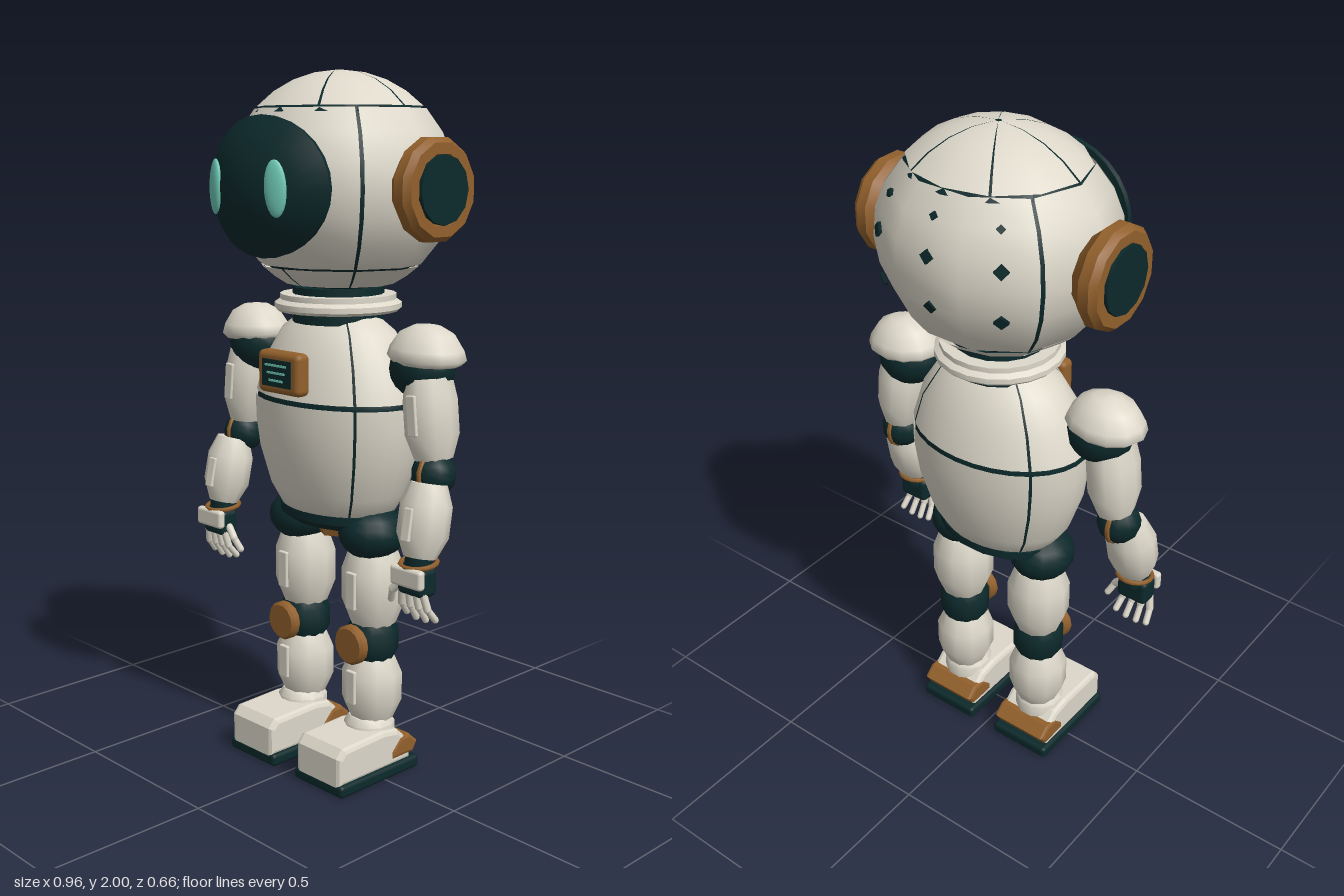
import * as THREE from 'three';
import { toCreasedNormals } from 'three/addons/utils/BufferGeometryUtils.js';
import { RoundedBoxGeometry } from 'three/addons/geometries/RoundedBoxGeometry.js';

const material = (name, color, side = THREE.FrontSide) => {
  const m = new THREE.MeshStandardMaterial({ color, side });
  m.name = name;
  return m;
};

export function createModel() {
  const shell = material('ivory shell', 0xddd8ca, THREE.DoubleSide);
  const dark = material('dark teal', 0x0c292b);
  const bronze = material('bronze', 0x92602c);
  const glow = material('mint glow', 0x6fcab6);
  const root = new THREE.Group();
  root.name = 'robot';
  const CZ = -0.037; // depth of the body axis

  const add = (name, geo, mat, pos = [0, 0, 0], rot = [0, 0, 0], scale = [1, 1, 1]) => {
    const m = new THREE.Mesh(geo, mat);
    m.name = name;
    m.position.set(...pos);
    m.rotation.set(...rot);
    m.scale.set(...scale);
    root.add(m);
    return m;
  };
  const lathe = (pts, segs, start = 0, len = Math.PI * 2) =>
    new THREE.LatheGeometry(pts.map(p => new THREE.Vector2(p[0], p[1])), segs, start, len);
  const turned = (pts, segs = 10, crease = 0.7) =>
    toCreasedNormals(lathe(pts, segs, Math.PI / segs), crease);
  // Rounded rod between two points
  const rod = (name, a, b, r, mat) => {
    const va = new THREE.Vector3(...a), vb = new THREE.Vector3(...b);
    const m = add(name, new THREE.CapsuleGeometry(r, va.distanceTo(vb), 3, 8), mat);
    m.position.copy(va).add(vb).multiplyScalar(0.5);
    m.quaternion.setFromUnitVectors(new THREE.Vector3(0, 1, 0), vb.sub(va).normalize());
  };
  // Side profile (z, y) pushed out along x with a bevel
  const sideExtrude = (pts, width, bevel) => {
    const s = new THREE.Shape(pts.map(p => new THREE.Vector2(p[0], p[1])));
    const depth = width - 2 * bevel;
    const g = new THREE.ExtrudeGeometry(s, { depth, bevelEnabled: true, bevelSize: bevel,
      bevelThickness: bevel, bevelOffset: -bevel, bevelSegments: 2 });
    return g.translate(0, 0, -depth / 2).rotateY(-Math.PI / 2);
  };
  // A ring of separate panels; seams and segments are per panel, in degrees
  const panels = (name, pts, seams, segs, zScale, gap, pos) => {
    seams.forEach((a, i) => {
      const b = i + 1 < seams.length ? seams[i + 1] : seams[0] + 360;
      const t0 = THREE.MathUtils.degToRad(a) + gap, t1 = THREE.MathUtils.degToRad(b) - gap;
      add(name, lathe(pts, segs[i], t0, t1 - t0).scale(1, 1, zScale), shell, pos);
    });
  };

  // Head: three bands of panels over a dark lining
  const HEAD = [0, 1.69, -0.04], RX = 0.335, RY = 0.31, RZ = 0.91;
  const arc = (t0, t1, n, k = 1) => Array.from({ length: n + 1 }, (_, i) => {
    const t = t0 + (t1 - t0) * i / n;
    return [RX * k * Math.cos(t), RY * k * Math.sin(t)];
  });
  const lowEdge = -0.785, topEdge = 0.74, bottom = -1.39 + 0.32;
  const deg = d => d * Math.PI / 180;
  panels('headBand', arc(lowEdge + 0.012, topEdge - 0.012, 6), [-54, 54, 126, 234], [3, 2, 3, 2], RZ, 0.018, HEAD);
  panels('crownPanel', arc(topEdge + 0.012, 1.545, 4), [-30, 30, 90, 150, 210, 270], Array(6).fill(2), RZ, 0.016, HEAD);
  panels('jawPanel', arc(bottom, lowEdge - 0.012, 2), [-54, 0, 54, 126, 180, 234], Array(6).fill(2), RZ, 0.016, HEAD);
  add('headLining', lathe(arc(lowEdge - 0.04, topEdge + 0.04, 6, 0.975), 10, deg(-54)).scale(1, 1, RZ), dark, HEAD);
  add('crownLining', lathe(arc(topEdge - 0.04, Math.PI / 2, 4, 0.98), 12, deg(-30)).scale(1, 1, RZ), dark, HEAD);
  add('jawLining', lathe(arc(-Math.PI / 2, lowEdge + 0.02, 4, 0.96), 12).scale(1, 1, RZ), dark, HEAD);

  // Vent marks on the back of the head
  for (const turn of [-36, 0, 36]) {
    for (const [y, r] of [[1.605, 0.02], [1.745, 0.02], [1.84, 0.012]]) {
      const lat = Math.asin((y - HEAD[1]) / RY), a = deg(turn);
      const flat = turn ? 1 : 0.951; // the middle facet lies inside the full ellipse
      const p = new THREE.Vector3(Math.sin(a) * Math.cos(lat) * RX, y - HEAD[1],
        -Math.cos(a) * Math.cos(lat) * RX * RZ * flat);
      const n = new THREE.Vector3(p.x / RX ** 2, p.y / RY ** 2, p.z / (RX * RZ) ** 2).normalize();
      const vent = add('headVent', new THREE.CylinderGeometry(r, r, 0.009, 4).rotateX(Math.PI / 2), dark);
      vent.position.set(...HEAD).add(p);
      vent.lookAt(vent.position.clone().add(n));
    }
  }

  // Face visor, bent slightly forward at top and bottom
  const visor = lathe([[0.185, 0.15], [0.2, 0.212], [0.232, 0.21], [0.235, 0.222], [0.17, 0.283], [0.08, 0.317], [0, 0.328]], 28);
  visor.rotateX(Math.PI / 2).scale(1, 0.8, 1);
  const vp = visor.attributes.position;
  for (let i = 0; i < vp.count; i++) vp.setZ(i, vp.getZ(i) + 0.022 * (vp.getY(i) / 0.185) ** 2);
  visor.computeVertexNormals();
  add('visor', toCreasedNormals(visor, 0.7), dark, [0, 1.69, 0]);

  // Neck
  add('neckCore', new THREE.CylinderGeometry(0.13, 0.13, 0.1, 16), dark, [0, 1.36, CZ]);
  add('neckRing', turned([[0.1, 1.342], [0.172, 1.342], [0.18, 1.35], [0.18, 1.365], [0.165, 1.375], [0.165, 1.39], [0.1, 1.39]], 20), shell, [0, 0, CZ]);

  // Torso: upper and lower shells over a dark core
  const lower = [[0.1, 0.748], [0.18, 0.762], [0.225, 0.83], [0.262, 0.94], [0.275, 1.03], [0.275, 1.092]];
  const upper = [[0.272, 1.106], [0.242, 1.2], [0.185, 1.288], [0.12, 1.335], [0.09, 1.342]];
  for (const [name, pts] of [['lowerTorsoPanel', lower], ['upperTorsoPanel', upper]])
    panels(name, pts, [-48, 48, 132, 228], [8, 7, 8, 7], 0.73, 0.018, [0, 0, CZ]);
  add('torsoCore', lathe([[0, 0.755], ...lower.concat(upper).map(([r, y]) => [r * 0.975, y]), [0, 1.342]], 30).scale(1, 1, 0.73), dark, [0, 0, CZ]);

  // Chest badge
  add('badgeFrame', new RoundedBoxGeometry(0.17, 0.12, 0.05, 2, 0.018), bronze, [0, 1.185, 0.172]);
  add('badgeScreen', new THREE.BoxGeometry(0.115, 0.075, 0.008), dark, [0, 1.185, 0.197]);
  [0.085, 0.07, 0.055].forEach((w, i) =>
    add('badgeLine', new THREE.BoxGeometry(w, 0.006, 0.004), glow, [0, 1.207 - i * 0.021, 0.202]));

  // Pelvis
  add('pelvis', turned([[0, 0.728], [0.16, 0.728], [0.2, 0.75], [0.2, 0.775], [0, 0.79]], 16), dark, [0, 0, CZ], [0, 0, 0], [1, 1, 0.7]);
  add('pelvisBlock', toCreasedNormals(new THREE.CylinderGeometry(0.075, 0.055, 0.06, 6), 0.3), bronze, [0, 0.718, CZ]);

  const limb = (top, r, base, y0, y1) => turned([[0, y0], [base, y0], [r, y0 + (y1 - y0) * 0.3],
    [r, y0 + (y1 - y0) * 0.72], [top, y1], [0, y1]], 10, 0.75);
  const disc = (r, h, c) => turned([[0, -h / 2], [r - c, -h / 2], [r, c - h / 2], [r, h / 2 - c], [r - c, h / 2], [0, h / 2]], 14);

  for (const s of [1, -1]) {
    const outward = [0, 0, -s * Math.PI / 2];
    add('eye', new THREE.SphereGeometry(1, 16, 12), glow, [s * 0.12, 1.69, 0.304], [0, s * 0.35, s * 0.05], [0.033, 0.074, 0.013]);

    // Ear pods
    add('earRing', turned([[0.1, -0.03], [0.125, 0], [0.139, 0.014], [0.139, 0.044], [0.125, 0.062], [0.095, 0.062], [0.09, 0.05]], 12, 0.6), bronze, [s * 0.325, 1.685, -0.04], outward);
    add('earDisc', new THREE.CylinderGeometry(0.092, 0.092, 0.05, 12), dark, [s * 0.369, 1.685, -0.04], outward);

    // Shoulder and upper arm
    add('shoulderPad', lathe([[0, 0], [0.1, 0], [0.116, 0.015], [0.108, 0.04], [0.08, 0.08], [0.04, 0.1], [0, 0.104]], 12).scale(1, 1, 0.84),
      shell, [s * 0.345, 1.23, -0.03], [0, 0, s * -0.04]);
    add('shoulderJoint', new THREE.SphereGeometry(1, 14, 10), dark, [s * 0.332, 1.215, -0.03], [0, 0, 0], [0.094, 0.085, 0.088]);
    add('upperArm', limb(0.06, 0.07, 0.05, -0.11, 0.11), shell, [s * 0.373, 1.085, -0.022], [0, 0, s * 0.1], [1, 1, 1.15]);
    add('upperArmPlate', new RoundedBoxGeometry(0.032, 0.11, 0.012, 1, 0.004), shell, [s * 0.375, 1.1, 0.056], [0, 0, s * 0.1]);

    // Elbow and forearm
    add('elbow', new THREE.SphereGeometry(0.062, 12, 9), dark, [s * 0.392, 0.935, -0.014]);
    add('elbowBand', disc(0.066, 0.014, 0.003), bronze, [s * 0.393, 0.935, -0.014], outward);
    add('forearm', limb(0.052, 0.073, 0.046, -0.1, 0.1), shell, [s * 0.408, 0.82, 0.038], [-0.2, 0, s * 0.03], [1, 1, 0.93]);
    add('forearmPlate', new RoundedBoxGeometry(0.03, 0.09, 0.012, 1, 0.004), shell, [s * 0.408, 0.82, 0.105], [-0.2, 0, s * 0.03]);

    // Hand
    add('wristRing', new THREE.TorusGeometry(0.05, 0.007, 6, 16).rotateX(Math.PI / 2), bronze, [s * 0.41, 0.708, 0.06], [0.12, 0, 0]);
    add('wrist', new THREE.CylinderGeometry(0.038, 0.038, 0.06, 10), dark, [s * 0.41, 0.71, 0.06]);
    add('palm', new RoundedBoxGeometry(0.098, 0.08, 0.062, 2, 0.016), dark, [s * 0.412, 0.661, 0.068]);
    add('handPlate', new RoundedBoxGeometry(0.112, 0.055, 0.025, 2, 0.01), shell, [s * 0.412, 0.677, 0.106]);
    [-1.5, -0.5, 0.5, 1.5].forEach(k => {
      const x = 0.412 + k * 0.025, fan = k * 0.006, len = 0.004 * k * k;
      const knuckle = [s * (x + fan), 0.59, 0.076];
      rod('finger', [s * x, 0.635, 0.085], knuckle, 0.011, shell);
      rod('fingertip', knuckle, [s * (x + fan * 1.6), 0.548 + len, 0.05], 0.0095, shell);
    });
    rod('thumb', [s * 0.362, 0.65, 0.075], [s * 0.335, 0.622, 0.08], 0.012, shell);
    rod('thumbTip', [s * 0.335, 0.622, 0.08], [s * 0.318, 0.588, 0.068], 0.0105, shell);

    // Leg
    const lx = s * 0.143;
    add('hipJoint', new THREE.SphereGeometry(1, 14, 10), dark, [s * 0.147, 0.72, -0.03], [0, 0, 0], [0.094, 0.078, 0.1]);
    add('thigh', limb(0.07, 0.092, 0.066, 0.45, 0.67), shell, [lx, 0, -0.04]);
    add('thighPlate', new RoundedBoxGeometry(0.036, 0.11, 0.014, 1, 0.004), shell, [lx, 0.56, 0.049]);
    add('knee', turned([[0, -0.062], [0.06, -0.06], [0.076, -0.03], [0.076, 0.03], [0.06, 0.06], [0, 0.062]], 12), dark, [lx, 0.4, CZ]);
    add('kneeCap', disc(0.058, 0.034, 0.008), bronze, [lx, 0.4, 0.047], [Math.PI / 2, 0, 0]);
    add('shin', limb(0.064, 0.088, 0.062, 0.16, 0.355), shell, [lx, 0, CZ]);
    add('shinPlate', new RoundedBoxGeometry(0.036, 0.1, 0.014, 1, 0.004), shell, [lx, 0.27, 0.048]);

    // Foot
    add('ankle', turned([[0, 0.1], [0.074, 0.1], [0.074, 0.15], [0.06, 0.17], [0, 0.175]], 12), shell, [lx, 0, CZ + 0.01]);
    add('foot', sideExtrude([[0.182, 0.03], [0.182, 0.115], [0.16, 0.14], [0, 0.145], [-0.06, 0.135], [-0.11, 0.09], [-0.11, 0.03]], 0.18, 0.014), shell, [lx, 0, 0]);
    add('heel', sideExtrude([[-0.03, 0.05], [-0.12, 0.05], [-0.138, 0.08], [-0.105, 0.11], [-0.065, 0.11], [-0.03, 0.075]], 0.186, 0.01), bronze, [lx, 0, 0]);
    add('sole', new RoundedBoxGeometry(0.2, 0.038, 0.32, 2, 0.012), dark, [lx, 0.019, 0.023]);
  }
  return root;
}
